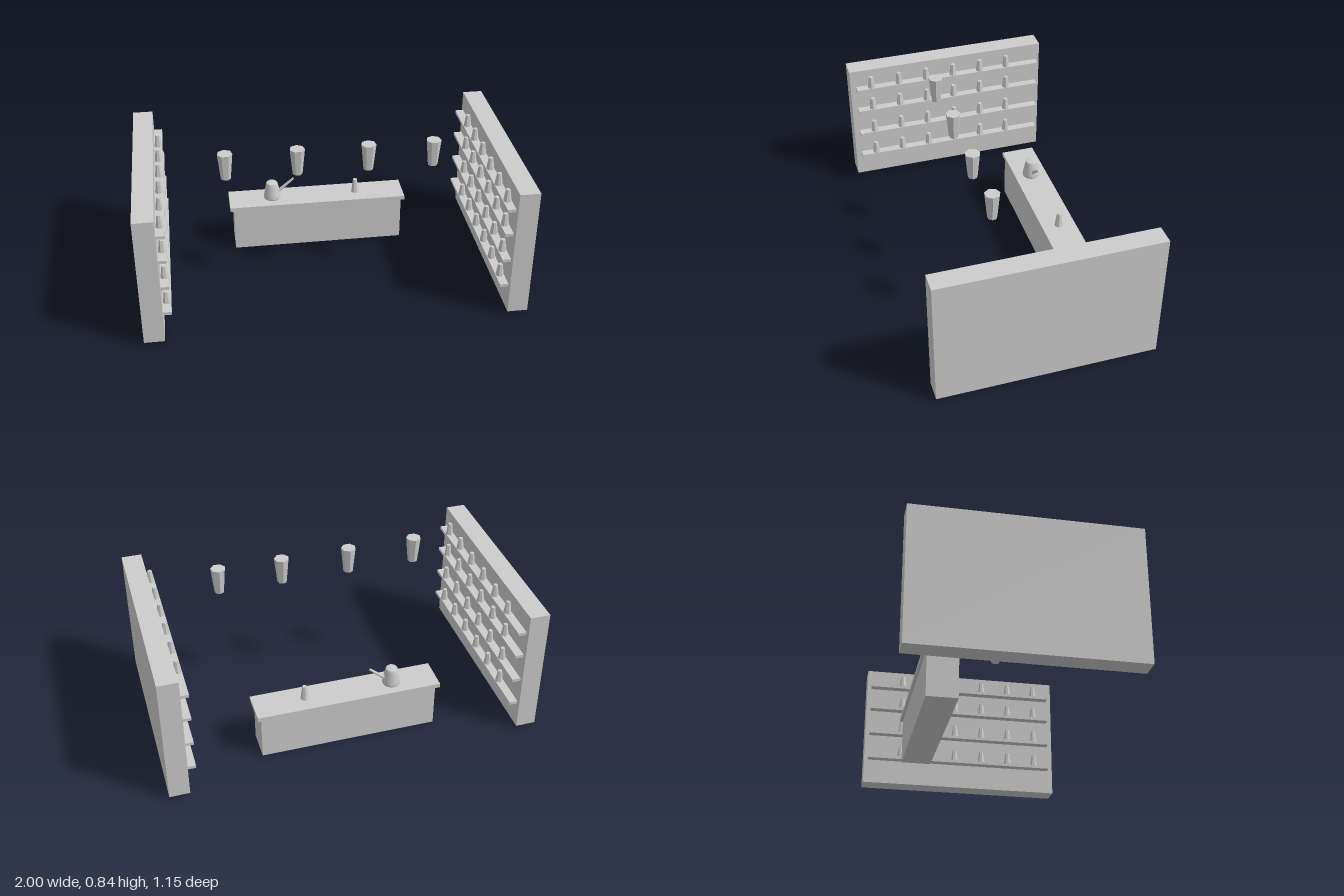
import * as THREE from 'three';

export function createModel() {
  const group = new THREE.Group();
  group.name = 'shopInterior';
  const plaster = new THREE.MeshStandardMaterial({ color: 0xcccccc });
  plaster.name = 'plain grey';

  function add(name, geometry, x, y, z, parent = group) {
    const mesh = new THREE.Mesh(geometry, plaster);
    mesh.name = name;
    mesh.position.set(x, y, z);
    parent.add(mesh);
    return mesh;
  }

  // Box given by its centre in x and z, and by its bottom
  function box(name, w, h, d, x, bottom, z, parent) {
    return add(name, new THREE.BoxGeometry(w, h, d), x, bottom + h / 2, z, parent);
  }

  // Faceted seven-sided cone section, with a flat side facing the front
  function faceted(topRadius, bottomRadius, height) {
    const g = new THREE.CylinderGeometry(topRadius, bottomRadius, height, 7).toNonIndexed();
    g.rotateY(Math.PI);
    g.translate(0, height / 2, 0);
    g.computeVertexNormals();
    return g;
  }

  const bottle = faceted(0.012, 0.022, 0.07);
  const lamp = faceted(0.04, 0.026, 0.144);

  // Side walls with shelves and rows of bottles
  const shelfBottoms = [0.155, 0.311, 0.469, 0.613];
  for (const side of [-1, 1]) {
    const wall = new THREE.Group();
    wall.name = side < 0 ? 'rightWall' : 'leftWall';
    group.add(wall);
    box('wallPanel', 0.107, 0.718, 1.15, side * 0.9465, 0.015, 0, wall);
    for (const y of shelfBottoms) {
      box('shelf', 0.048, 0.017, 1.095, side * 0.872, y, -0.004, wall);
      for (let i = 0; i < 6; i++) {
        add('bottle', bottle, side * 0.87, y + 0.014, -0.36 + i * 0.163, wall);
      }
    }
  }

  // Counter
  box('counterBase', 0.953, 0.25, 0.162, -0.002, 0, -0.316);
  box('counterTop', 0.994, 0.024, 0.183, -0.003, 0.248, -0.319);

  // Can with a round shoulder and a slanting spout
  const profile = [
    [0, 0], [0.046, 0], [0.048, 0.006], [0.045, 0.025], [0.036, 0.075],
    [0.032, 0.092], [0.028, 0.098], [0, 0.099],
  ].map(([r, y]) => new THREE.Vector2(r, y));
  add('canBody', new THREE.LatheGeometry(profile, 28), -0.255, 0.272, -0.322);
  const from = new THREE.Vector3(-0.225, 0.305, -0.322);
  const to = new THREE.Vector3(-0.132, 0.385, -0.322);
  const run = to.clone().sub(from);
  const spout = add('canSpout', new THREE.CylinderGeometry(0.006, 0.01, run.length(), 12),
    (from.x + to.x) / 2, (from.y + to.y) / 2, from.z);
  spout.quaternion.setFromUnitVectors(new THREE.Vector3(0, 1, 0), run.normalize());

  // Single bottle on the counter
  add('counterBottle', faceted(0.012, 0.022, 0.08), 0.221, 0.272, -0.32);

  // Hanging lamps
  for (const x of [-0.528, -0.16, 0.208, 0.548]) add('hangingLamp', lamp, x, 0.698, 0.155);

  return group;
}
